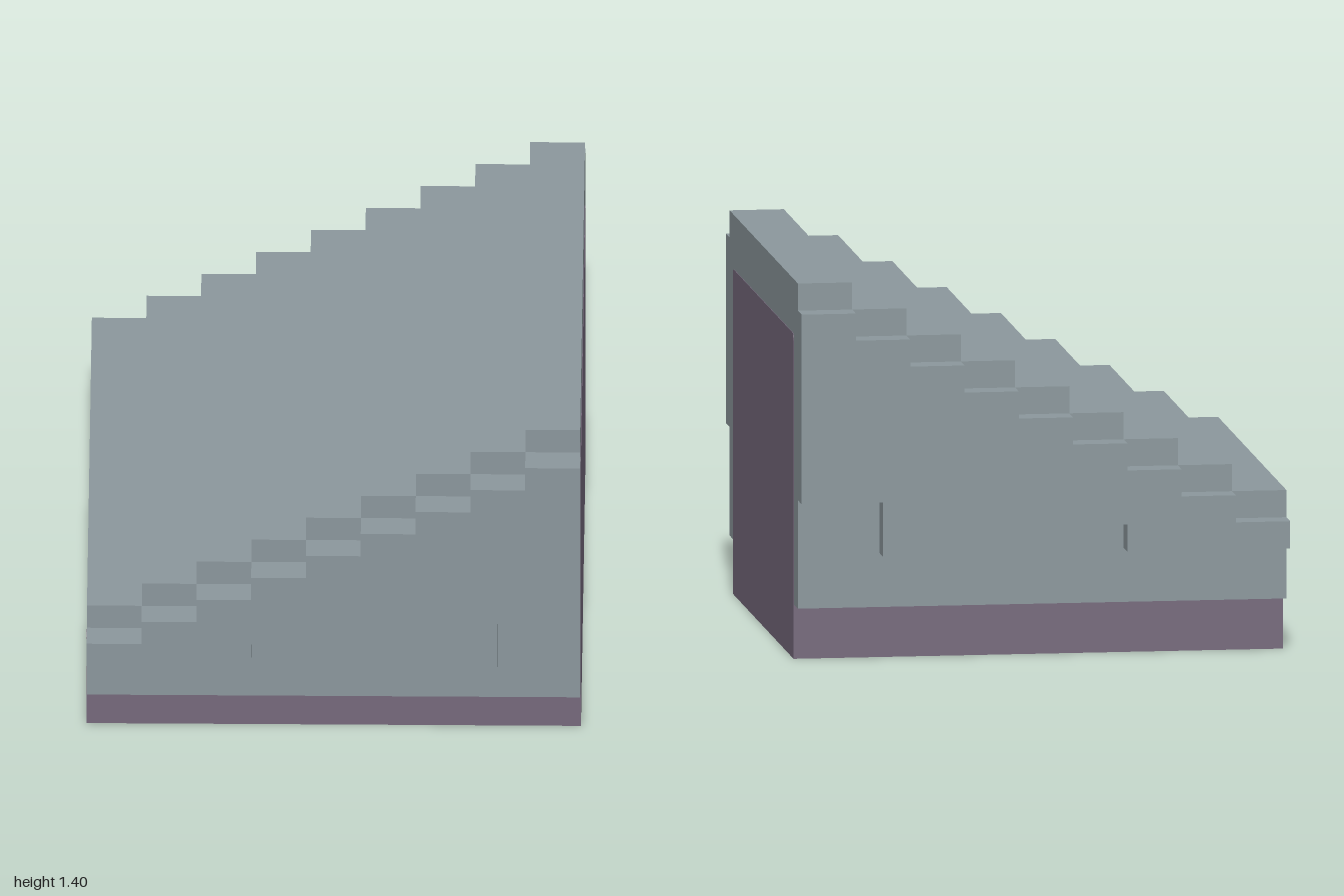
import * as THREE from 'three';

const STEPS = 9, RUN = 0.2, RISE = 0.1, HALF = 0.9;

// Side profile: stepped top climbing towards +x, closed by the given bottom edge (right to left)
function steppedShape(firstTop, bottom) {
  const pts = [];
  for (let i = 0; i < STEPS; i++) {
    const x = -HALF + i * RUN, y = firstTop + i * RISE;
    pts.push(new THREE.Vector2(x, y), new THREE.Vector2(x + RUN, y));
  }
  bottom.forEach(([x, y]) => pts.push(new THREE.Vector2(x, y)));
  return new THREE.Shape(pts);
}

// Upright panel with small rounded top corners
function panelShape(width, height, r) {
  const w = width / 2, s = new THREE.Shape();
  s.moveTo(-w, 0);
  s.lineTo(w, 0);
  s.lineTo(w, height - r);
  s.quadraticCurveTo(w, height, w - r, height);
  s.lineTo(-w + r, height);
  s.quadraticCurveTo(-w, height, -w, height - r);
  return s;
}

export function createModel() {
  const group = new THREE.Group();
  const slate = new THREE.MeshStandardMaterial({ color: 0x8b979c });
  slate.name = 'slate grey';
  const plum = new THREE.MeshStandardMaterial({ color: 0x75697c });
  plum.name = 'muted plum';

  const add = (name, geometry, material) => {
    const mesh = new THREE.Mesh(geometry, material);
    mesh.name = name;
    group.add(mesh);
    return mesh;
  };
  const extrude = (shape, depth) =>
    new THREE.ExtrudeGeometry(shape, { depth, bevelEnabled: false, curveSegments: 4 });

  // Plinth under the roof
  add('plinth', new THREE.BoxGeometry(2 * HALF, 0.2, 1.6), plum).position.y = 0.1;

  // Main stepped roof
  const roof = steppedShape(0.6, [[HALF, 0.2], [-HALF, 0.2]]);
  add('steppedRoof', extrude(roof, 1.8), slate).position.z = -0.9;

  // Overhanging side layers with a ragged lower edge
  const eave = steppedShape(0.5, [
    [0.9, 0.6], [0.6, 0.6], [0.6, 0.4], [0.2, 0.4],
    [0.2, 0.5], [-0.3, 0.5], [-0.3, 0.4], [-0.9, 0.4],
  ]);
  add('frontEave', extrude(eave, 0.1), slate).position.z = 0.9;
  add('backEave', extrude(eave, 0.1), slate).position.z = -1;

  // Wall faces at the high and low ends
  for (const [name, side, height] of [['highEndWall', 1, 1.2], ['lowEndWall', -1, 0.4]]) {
    const wall = add(name, extrude(panelShape(1.6, height, 0.025), 0.004), plum);
    wall.rotation.y = side * Math.PI / 2;
    wall.position.x = side * (HALF - 0.002);
  }
  return group;
}
